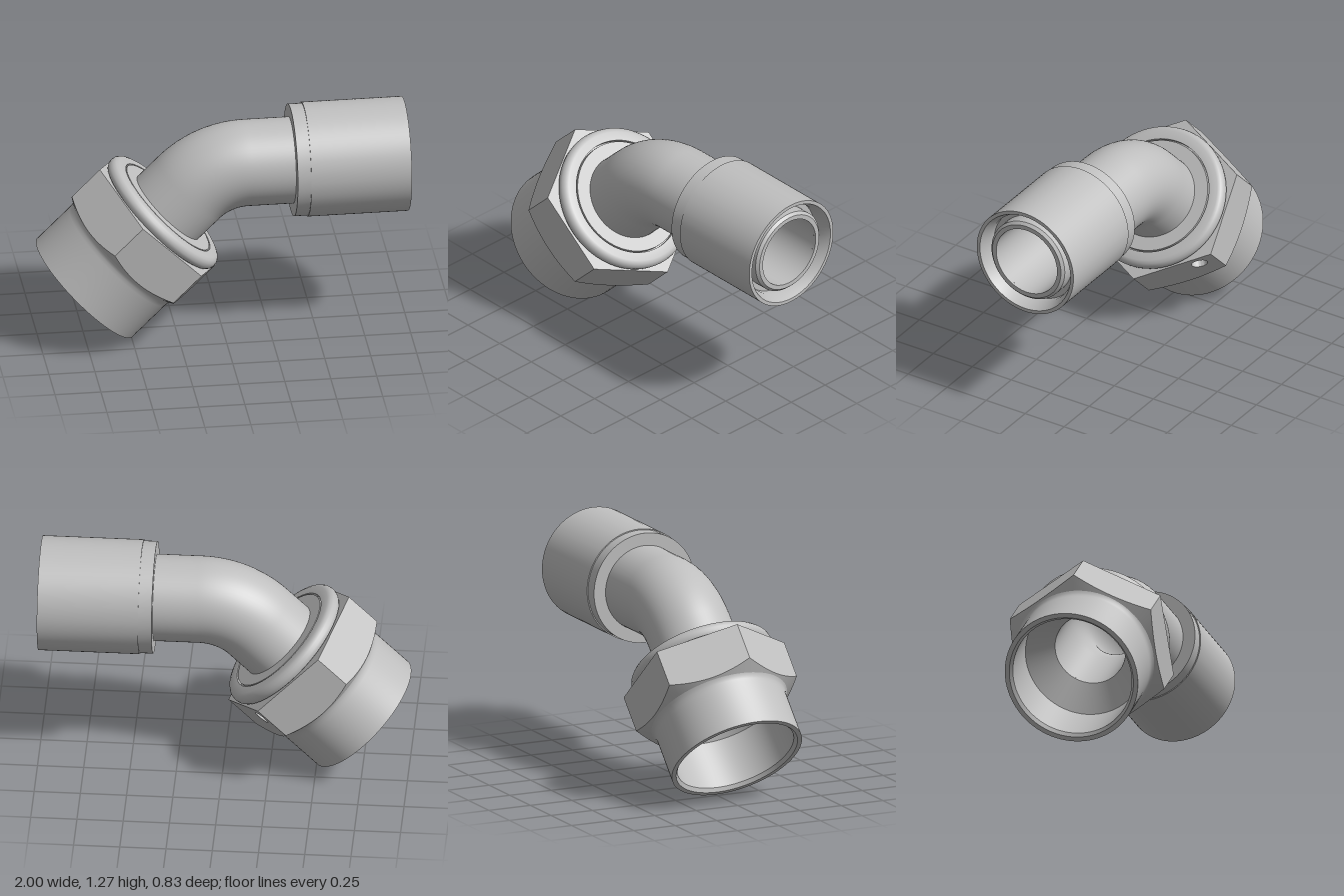
import * as THREE from 'three';
import { toCreasedNormals } from 'three/addons/utils/BufferGeometryUtils.js';

const RAD = Math.PI / 180;
const APOTHEM = 0.397, CORNER = APOTHEM / Math.cos(30 * RAD), TWIST = 5 * RAD;
const NUT_TOP = 0.565;

export function createModel() {
  const model = new THREE.Group();
  model.name = 'elbowFitting';
  const steel = new THREE.MeshStandardMaterial({ color: 0xbfbfbf, side: THREE.DoubleSide });
  steel.name = 'steel grey';

  const add = (parent, name, geometry) => {
    const mesh = new THREE.Mesh(geometry, steel);
    mesh.name = name;
    parent.add(mesh);
    return mesh;
  };
  // turned part: profile of [radius, height], edges kept sharp
  const turned = (profile) => toCreasedNormals(
    new THREE.LatheGeometry(profile.map(([r, h]) => new THREE.Vector2(r, h)), 80), 0.5);

  // ---- bent pipe: straight, 45 degree arc, straight ----
  const AXIS_Y = 0.9625, d = Math.SQRT1_2;
  const base = new THREE.Vector3(-0.74, 0.267, 0);
  const alongNut = (s) => new THREE.Vector3(base.x + d * s, base.y + d * s, 0);
  const bendR = 0.44, tangent = bendR * Math.tan(22.5 * RAD), handle = 0.2652 * bendR;
  const meet = (AXIS_Y - base.y) / d;
  const bendX = alongNut(meet).x + tangent;
  const path = new THREE.CurvePath();
  path.add(new THREE.LineCurve3(alongNut(0.42), alongNut(meet - tangent)));
  path.add(new THREE.CubicBezierCurve3(
    alongNut(meet - tangent), alongNut(meet - tangent + handle),
    new THREE.Vector3(bendX - handle, AXIS_Y, 0), new THREE.Vector3(bendX, AXIS_Y, 0)));
  path.add(new THREE.LineCurve3(
    new THREE.Vector3(bendX, AXIS_Y, 0), new THREE.Vector3(0.97, AXIS_Y, 0)));
  add(model, 'pipeOutside', new THREE.TubeGeometry(path, 100, 0.235, 64));
  add(model, 'pipeBore', new THREE.TubeGeometry(path, 100, 0.195, 64));

  // ---- sleeve on the straight end ----
  const sleeve = new THREE.Group();
  sleeve.name = 'sleeve';
  sleeve.position.y = AXIS_Y;
  sleeve.rotation.z = -Math.PI / 2;
  model.add(sleeve);
  add(sleeve, 'sleeveBody', turned([
    [0.232, 0.38], [0.304, 0.38], [0.304, 0.453], [0.31, 0.453], [0.31, 1],
    [0.29, 1], [0.265, 0.94], [0.265, 0.9], [0.232, 0.9]]));
  add(sleeve, 'pipeLip', turned([[0.235, 0.97], [0.22, 0.985], [0.195, 0.985], [0.195, 0.97]]));

  // ---- nut, standing on its own tilted axis ----
  const nut = new THREE.Group();
  nut.name = 'nut';
  nut.position.copy(base);
  nut.rotation.z = -45 * RAD;
  model.add(nut);

  add(nut, 'nutSkirt', turned([
    [0.195, 0.43], [0.33, 0.3], [0.33, 0.02], [0.345, 0], [0.37, 0], [0.37, 0.255],
    [0.372, 0.275], [0.377, 0.292], [0.386, 0.304]]));
  add(nut, 'nutCollar', turned([
    [0.375, NUT_TOP], [0.389, 0.572], [0.397, 0.585], [0.399, 0.6], [0.395, 0.618],
    [0.384, 0.632], [0.366, 0.64], [0.319, 0.64], [0.319, 0.615], [0.311, 0.615],
    [0.311, 0.64], [0.23, 0.64]]));

  // conical chamfer height under the hexagon at a given radius
  const chamfer = (r) => 0.35 - (CORNER - r) * 0.65;
  // ring from a circle out to the hexagon outline
  const hexRing = (inner, height) => {
    const g = new THREE.RingGeometry(inner, 1, 72, 1, TWIST);
    const p = g.attributes.position;
    for (let i = 0; i < p.count; i++) {
      const x = p.getX(i), y = p.getY(i);
      let r = Math.hypot(x, y);
      const a = Math.atan2(y, x);
      if (r > 0.9) {
        const turn = 60 * RAD, rel = (((a - TWIST) % turn) + turn) % turn;
        r = APOTHEM / Math.cos(rel - 30 * RAD);
      }
      p.setXYZ(i, Math.cos(a) * r, Math.sin(a) * r, height(r));
    }
    g.rotateX(-Math.PI / 2);
    g.computeVertexNormals();
    return g;
  };
  add(nut, 'nutTop', hexRing(0.36, () => NUT_TOP));
  add(nut, 'nutChamfer', hexRing(0.385, chamfer));

  // six flats with a curved lower edge; the first one has a drilled hole
  const hole = { t: 0.131, s: 0.488, r: 0.044, depth: 0.08 };
  for (let k = 0; k < 6; k++) {
    const half = APOTHEM * Math.tan(30 * RAD);
    const shape = new THREE.Shape();
    shape.moveTo(half, NUT_TOP);
    shape.lineTo(-half, NUT_TOP);
    for (let i = 0; i <= 12; i++) {
      const a = (-30 + i * 5) * RAD;
      shape.lineTo(APOTHEM * Math.tan(a), chamfer(APOTHEM / Math.cos(a)));
    }
    if (k === 0) {
      shape.holes.push(new THREE.Path().absarc(hole.t, hole.s, hole.r, 0, Math.PI * 2, true));
    }
    const side = new THREE.Group();
    side.name = 'nutSide' + (k + 1);
    side.rotation.y = Math.PI / 2 + 35 * RAD + k * 60 * RAD;
    nut.add(side);
    add(side, 'nutFlat', new THREE.ShapeGeometry(shape, 24)).position.z = APOTHEM;
    if (k === 0) {
      const drill = add(side, 'drilledHole', turned([
        [0, -hole.depth - 0.02], [hole.r, -hole.depth], [hole.r, 0]]));
      drill.rotation.x = Math.PI / 2;
      drill.position.set(hole.t, hole.s, APOTHEM);
    }
  }
  return model;
}
